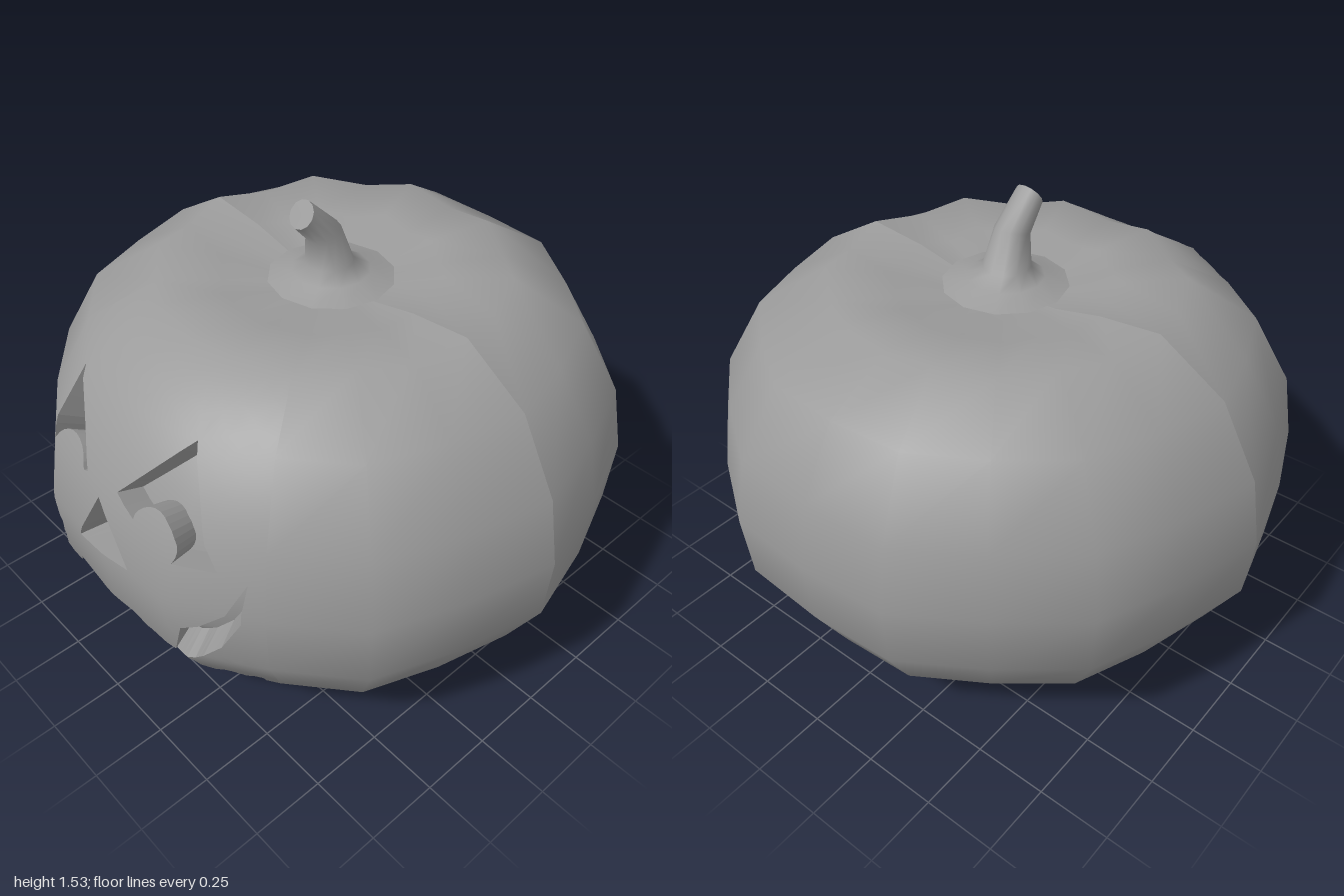
import * as THREE from 'three';

const V2 = (x, y) => new THREE.Vector2(x, y);
const V3 = (x, y, z) => new THREE.Vector3(x, y, z);
const SIDES = 20, STEP = 0.06, DEPTH = 0.1;

// Body profile from bottom to top: ridge radius, ridge height, height drop in the grooves
const RINGS = [
  [0, 0.02, 0], [0.25, 0.006, -0.008], [0.62, 0.07, 0], [0.86, 0.22, 0], [0.98, 0.43, 0],
  [1, 0.66, 0], [0.957, 0.89, 0], [0.82, 1.13, 0.005], [0.585, 1.272, 0.026],
  [0.37, 1.25, 0.02], [0.2, 1.212, 0.006], [0, 1.2, 0],
];
// The carved front spans these rings and four sides
const FIRST = 2, LAST = 8, HALF = 2;

// Front and back halves keep their own vertices, so a shading seam runs down both sides
const QUARTER = SIDES / 4, COLUMNS = SIDES + 2;
const vertexId = (j, k, half = 0) => j * COLUMNS + k + QUARTER + half;

function makeGeometry(positions, index, normals) {
  const g = new THREE.BufferGeometry();
  g.setAttribute('position', new THREE.Float32BufferAttribute(positions, 3));
  if (index) g.setIndex(index);
  if (normals) g.setAttribute('normal', new THREE.Float32BufferAttribute(normals, 3));
  else g.computeVertexNormals();
  return g;
}

// Ribbed, slightly leaning body: full surface plus the front triangles to be carved
function buildBody() {
  const pos = [], all = [], shell = [], front = [];
  for (const [r, height, drop] of RINGS) {
    for (let col = 0; col < COLUMNS; col++) {
      const k = col - QUARTER - (col > SIDES / 2 ? 1 : 0);
      const groove = k % 2 === 0, a = k * Math.PI * 2 / SIDES, s = groove ? r * 0.97 : r;
      const x = s * Math.sin(a), y = groove ? height - drop : height, z = s * Math.cos(a);
      const lean = 0.02 * (y - 0.66);
      pos.push(x - lean, y - 0.018 * z - 0.004 * x, z - lean);
    }
  }
  for (let j = 0; j < RINGS.length - 1; j++) {
    for (let k = -QUARTER; k < SIDES - QUARTER; k++) {
      const half = k < QUARTER ? 0 : 1;
      const a = vertexId(j, k, half), b = vertexId(j, k + 1, half);
      const c = b + COLUMNS, d = a + COLUMNS;
      const tris = [];
      if (j > 0) tris.push(a, b, c);
      if (j < RINGS.length - 2) tris.push(a, c, d);
      else tris.push(a, b, d);
      all.push(...tris);
      const carved = j >= FIRST && j < LAST && k >= -HALF && k < HALF;
      (carved ? front : shell).push(...tris);
    }
  }
  const geometry = makeGeometry(pos, all);
  geometry.setIndex(shell);
  return { geometry, front };
}

// Returns a function giving surface point and normal at (x, y) on the front
function makeSampler({ geometry, front }) {
  const P = geometry.attributes.position, N = geometry.attributes.normal;
  const get = (attr, i) => V3().fromBufferAttribute(attr, i);
  const tris = [];
  for (let i = 0; i < front.length; i += 3) {
    const ids = front.slice(i, i + 3);
    tris.push({ p: ids.map(n => get(P, n)), n: ids.map(n => get(N, n)) });
  }
  const cross = (a, b, x, y) => (b.x - a.x) * (y - a.y) - (b.y - a.y) * (x - a.x);
  return ({ x, y }, depth = 0) => {
    let best = -Infinity, hit, w;
    for (const t of tris) {
      const [a, b, c] = t.p, area = cross(a, b, c.x, c.y);
      const u = [cross(b, c, x, y) / area, cross(c, a, x, y) / area, cross(a, b, x, y) / area];
      const m = Math.min(...u);
      if (m > best) { best = m; hit = t; w = u; }
    }
    const mix = v => V3().addScaledVector(v[0], w[0]).addScaledVector(v[1], w[1]).addScaledVector(v[2], w[2]);
    const normal = mix(hit.n).normalize();
    return { point: mix(hit.p).addScaledVector(normal, -depth), normal };
  };
}

// Triangulates a flat outline, refines it and wraps it on the front surface
function wrapShape(outline, holes, sample, depth) {
  const pts = [outline, ...holes].flat(), pos = [], nor = [];
  const emit = (a, b, c) => {
    const ab = a.distanceTo(b), bc = b.distanceTo(c), ca = c.distanceTo(a);
    const longest = Math.max(ab, bc, ca);
    if (longest > STEP) {
      if (longest === bc) [a, b, c] = [b, c, a];
      else if (longest === ca) [a, b, c] = [c, a, b];
      const m = a.clone().add(b).multiplyScalar(0.5);
      emit(a, m, c);
      emit(m, b, c);
      return;
    }
    for (const q of [a, b, c]) {
      const { point, normal } = sample(q, depth);
      pos.push(...point.toArray());
      nor.push(...normal.toArray());
    }
  };
  for (const f of THREE.ShapeUtils.triangulateShape(outline, holes)) {
    const [a, b, c] = f.map(i => pts[i]);
    const ccw = (b.x - a.x) * (c.y - a.y) - (b.y - a.y) * (c.x - a.x) > 0;
    if (ccw) emit(a, b, c);
    else emit(a, c, b);
  }
  return makeGeometry(pos, null, nor);
}

// Walls from the surface down to the floor of a cut
function cutWalls(hole, sample) {
  const pos = [];
  const edge = (p, q) => {
    if (p.distanceTo(q) > STEP) {
      const m = p.clone().add(q).multiplyScalar(0.5);
      edge(p, m);
      edge(m, q);
      return;
    }
    const [pf, qf, qb, pb] = [sample(p), sample(q), sample(q, DEPTH), sample(p, DEPTH)].map(s => s.point.toArray());
    pos.push(...pf, ...qf, ...qb, ...pf, ...qb, ...pb);
  };
  hole.forEach((p, i) => edge(p, hole[(i + 1) % hole.length]));
  return makeGeometry(pos);
}

const points = list => list.map(([x, y]) => V2(x, y));

// Points on the round pupil left standing in each eye
function arc(x, y, r, from, to) {
  return Array.from({ length: 15 }, (_, i) => {
    const a = THREE.MathUtils.degToRad(from + (to - from) * i / 14);
    return V2(x + r * Math.cos(a), y + r * Math.sin(a));
  });
}

function faceCuts() {
  return {
    rightEye: [...points([[-0.10, 0.87], [-0.29, 1.10], [-0.43, 0.76]]), ...arc(-0.215, 0.835, 0.096, 212, 16)],
    leftEye: [...points([[0.055, 0.885], [0.26, 1.12], [0.43, 0.78]]), ...arc(0.23, 0.825, 0.092, -29, 170)],
    nose: points([[-0.03, 0.82], [-0.15, 0.59], [0.13, 0.645]]),
    mouth: points([
      [-0.535, 0.76], [-0.51, 0.61], [-0.47, 0.5], [-0.39, 0.385], [-0.28, 0.3], [-0.15, 0.245],
      [-0.14, 0.315], [-0.12, 0.325], [0.035, 0.32], [0.05, 0.3], [0.055, 0.23],
      [0.2, 0.27], [0.33, 0.35], [0.44, 0.475], [0.505, 0.61], [0.51, 0.76],
      [0.465, 0.635], [0.385, 0.555], [0.335, 0.53], [0.31, 0.42], [0.13, 0.385], [0.105, 0.43],
      [-0.04, 0.42], [-0.2, 0.44], [-0.22, 0.405], [-0.38, 0.44], [-0.40, 0.53], [-0.47, 0.61],
    ]),
  };
}

// Bent stem: rings of height, z, radius and forward tilt
function stemGeometry() {
  const rings = [[1.232, 0, 0.21, 0], [1.258, 0, 0.13, 0], [1.29, 0.008, 0.08, 0],
    [1.405, 0.035, 0.059, 0.31], [1.495, 0.123, 0.048, 0.96]];
  const n = 12, pos = [], idx = [];
  for (const [y, z, r, tilt] of rings) {
    for (let i = 0; i < n; i++) {
      const a = i / n * Math.PI * 2;
      const p = V3(r * Math.sin(a), 0, r * Math.cos(a)).applyAxisAngle(V3(1, 0, 0), tilt);
      pos.push(p.x, p.y + y, p.z + z);
    }
  }
  for (let j = 0; j < rings.length - 1; j++) {
    for (let i = 0; i < n; i++) {
      const a = j * n + i, b = j * n + (i + 1) % n;
      idx.push(a, b, b + n, a, b + n, a + n);
    }
  }
  return makeGeometry(pos, idx);
}

export function createModel() {
  const group = new THREE.Group();
  const material = new THREE.MeshStandardMaterial({ color: 0x9b9b9b });
  const add = (name, geometry, parent = group) => {
    const mesh = new THREE.Mesh(geometry, material);
    mesh.name = name;
    parent.add(mesh);
    return mesh;
  };

  const body = buildBody(), sample = makeSampler(body);
  add('body', body.geometry);

  // Outline of the carved front, following the body's own edges
  const P = body.geometry.attributes.position, outline = [];
  const corner = (j, k) => outline.push(V2(P.getX(vertexId(j, k)), P.getY(vertexId(j, k))));
  for (let k = -HALF; k < HALF; k++) corner(FIRST, k);
  for (let j = FIRST; j < LAST; j++) corner(j, HALF);
  for (let k = HALF; k > -HALF; k--) corner(LAST, k);
  for (let j = LAST; j > FIRST; j--) corner(j, -HALF);

  const cuts = faceCuts();
  for (const hole of Object.values(cuts)) if (THREE.ShapeUtils.isClockWise(hole)) hole.reverse();
  add('carvedFront', wrapShape(outline, Object.values(cuts), sample, 0));
  for (const [name, hole] of Object.entries(cuts)) {
    const cut = new THREE.Group();
    cut.name = name;
    group.add(cut);
    add(name + 'Walls', cutWalls(hole, sample), cut);
    add(name + 'Floor', wrapShape(hole, [], sample, DEPTH), cut);
  }

  // Stem with a flat cut end
  add('stem', stemGeometry());
  const end = add('stemEnd', new THREE.CircleGeometry(0.048, 12));
  end.position.set(0, 1.495, 0.123);
  end.rotation.x = 0.96 - Math.PI / 2;
  return group;
}
